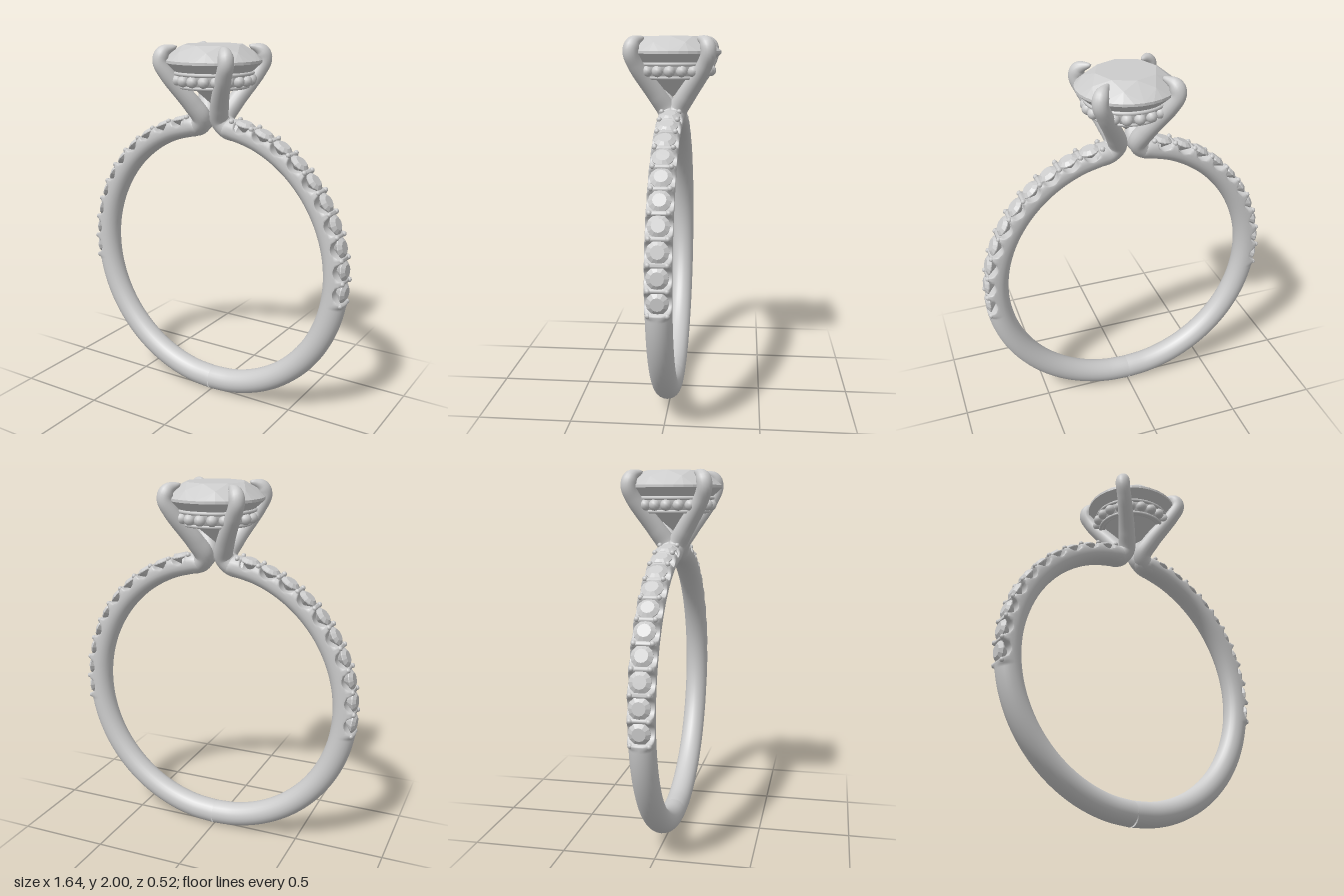
import * as THREE from 'three';
import { mergeVertices } from 'three/addons/utils/BufferGeometryUtils.js';
import { ConvexGeometry } from 'three/addons/geometries/ConvexGeometry.js';

const CY = 0.82, R = 0.75, RAD = Math.PI / 180;     // finger circle (centre height, mid radius)
const STONES = 10, FIRST = -3.3 * RAD, STEP = 8.75 * RAD;
const smooth = THREE.MathUtils.smoothstep, lerp = THREE.MathUtils.lerp;

const metal = new THREE.MeshStandardMaterial({ color: 0xcccccc, side: THREE.DoubleSide });
const facet = new THREE.MeshStandardMaterial({ color: 0xcccccc, flatShading: true });

function add(parent, name, geometry, material = metal) {
  const m = new THREE.Mesh(geometry, material);
  m.name = name;
  parent.add(m);
  return m;
}

// Unit tube along a curve whose cross-section offsets are rewritten by rule(offset, centre, u, tangent)
function shapedTube(curve, segs, sides, rule) {
  curve.arcLengthDivisions = 1000;
  let g = new THREE.TubeGeometry(curve, segs, 1, sides);
  const pos = g.attributes.position, o = new THREE.Vector3();
  for (let i = 0; i <= segs; i++) {
    const c = curve.getPointAt(i / segs), t = curve.getTangentAt(i / segs);
    for (let j = 0; j <= sides; j++) {
      const k = i * (sides + 1) + j;
      o.fromBufferAttribute(pos, k).sub(c);
      rule(o, c, i / segs, t);
      o.add(c);
      pos.setXYZ(k, o.x, o.y, o.z);
    }
  }
  g.deleteAttribute('uv');
  g.deleteAttribute('normal');
  g = mergeVertices(g, 1e-5);
  g.computeVertexNormals();
  return g;
}

// Half of the shank: round below, squarer and scooped under each small stone above
function shankGeometry() {
  const pts = [];
  for (let a = -90; a <= 80; a += 10)
    pts.push(new THREE.Vector3(R * Math.cos(a * RAD), CY + R * Math.sin(a * RAD), 0));
  pts.push(new THREE.Vector3(0.07, 1.575, 0), new THREE.Vector3(0.05, 1.64, 0));
  return shapedTube(new THREE.CatmullRomCurve3(pts), 360, 24, (o, c, u, t) => {
    const a = Math.atan2(c.y - CY, c.x);
    const n = o.x * t.y - o.y * t.x, b = o.z;       // outward and sideways parts
    const pave = smooth(a, FIRST - 0.11, FIRST - 0.07) * (1 - smooth(a, 78 * RAD, 84 * RAD));
    const p = n > 0 ? lerp(2, 3.5, pave) : 2;
    const s = 1 / Math.pow(Math.abs(n) ** p + Math.abs(b) ** p, 1 / p);
    const end = Math.sqrt(Math.max(0, 1 - smooth(u, 0.955, 1)));
    const h = lerp(0.068, 0.056, smooth(a, 0.3, 1.4));
    let nn = n * s * h;
    if (pave > 0) {
      const i = THREE.MathUtils.clamp(Math.round((a - FIRST) / STEP), 0, STONES - 1);
      const d = (a - FIRST - i * STEP) * R / 0.045;
      const scoop = Math.abs(d) < 1 ? 0.048 * Math.sqrt(1 - d * d) : 0;
      nn = Math.min(nn, lerp(1, 0.058 - scoop, pave));
    }
    const w = b * s * 0.067 * end;
    o.set(t.y * nn * end, -t.x * nn * end, w);
  });
}

// Claw that leaves the shank, leans outward and hooks over the big stone
function prongGeometry() {
  const curve = new THREE.CatmullRomCurve3([
    [0.17, 1.55, 0.008], [0.1, 1.562, 0.012], [0.058, 1.61, 0.026], [0.085, 1.69, 0.075],
    [0.172, 1.85, 0.178], [0.199, 1.92, 0.2], [0.186, 1.965, 0.187], [0.135, 1.993, 0.137],
  ].map(p => new THREE.Vector3(...p)));
  return shapedTube(curve, 60, 16, (o, c, u) => {
    const r = lerp(0.052, 0.041, smooth(u, 0.2, 0.75)) * lerp(1, 0.3, smooth(u, 0.84, 1));
    o.multiplyScalar(r * Math.sqrt(Math.max(0, 1 - smooth(u, 0.97, 1))));
  });
}

// Round brilliant cut: rings of corners wrapped in a hull
function brilliantGeometry() {
  const pts = [new THREE.Vector3(0, 1.68, 0)];
  const ring = (count, r, y, turn) => {
    for (let i = 0; i < count; i++) {
      const a = (i + turn) / count * Math.PI * 2;
      pts.push(new THREE.Vector3(r * Math.cos(a), y, r * Math.sin(a)));
    }
  };
  ring(8, 0.16, 2, 0);
  ring(8, 0.215, 1.968, 0.5);
  ring(32, 0.26, 1.924, 0);
  ring(32, 0.26, 1.91, 0);
  ring(8, 0.075, 1.742, 0.5);
  return new ConvexGeometry(pts);
}

function lathe(points, sides) {
  return new THREE.LatheGeometry(points.map(p => new THREE.Vector2(...p)), sides);
}

export function createModel() {
  const ringGroup = new THREE.Group();
  ringGroup.name = 'ring';

  const shank = shankGeometry(), prong = prongGeometry();
  const smallStone = lathe([[0, -0.046], [0.056, 0], [0.056, 0.005], [0.034, 0.02], [0, 0.02]], 12);
  const grain = new THREE.SphereGeometry(0.014, 8, 6);

  // Two equal halves, turned about the vertical axis
  for (const [side, turn] of [['left', 0], ['right', Math.PI]]) {
    const half = new THREE.Group();
    half.name = side + 'Half';
    half.rotation.y = turn;
    ringGroup.add(half);
    add(half, side + 'Shank', shank);

    for (let i = 0; i < STONES; i++) {
      const a = FIRST + i * STEP;
      const stone = add(half, 'bandStone', smallStone, facet);
      stone.position.set(Math.cos(a) * (R + 0.045), CY + Math.sin(a) * (R + 0.045), 0);
      stone.rotation.z = a - Math.PI / 2;
    }
    // Small grains holding the band stones
    for (let i = 0; i <= STONES; i++) {
      const a = FIRST + (i - 0.5) * STEP;
      for (const z of [-0.046, 0.046])
        add(half, 'stoneGrain', grain)
          .position.set(Math.cos(a) * (R + 0.054), CY + Math.sin(a) * (R + 0.054), z);
    }

    add(half, 'frontProng', prong);
    add(half, 'backProng', prong).scale.z = -1;
  }

  add(ringGroup, 'centreStone', brilliantGeometry(), facet);

  // Gallery under the centre stone: a sloped collar, two rails and a row of stones
  const gallery = new THREE.Group();
  gallery.name = 'gallery';
  ringGroup.add(gallery);
  add(gallery, 'galleryCollar',
    lathe([[0.16, 1.785], [0.188, 1.785], [0.208, 1.855], [0.19, 1.855], [0.16, 1.785]], 64));
  for (const [r, y] of [[0.186, 1.787], [0.21, 1.856]]) {
    const rail = add(gallery, 'galleryRail', new THREE.TorusGeometry(r, 0.01, 8, 64));
    rail.rotation.x = Math.PI / 2;
    rail.position.y = y;
  }
  const bead = new THREE.SphereGeometry(0.03, 12, 8);
  for (let i = 0; i < 20; i++) {
    const a = i / 20 * Math.PI * 2;
    add(gallery, 'galleryStone', bead).position.set(0.203 * Math.cos(a), 1.821, 0.203 * Math.sin(a));
  }
  return ringGroup;
}
